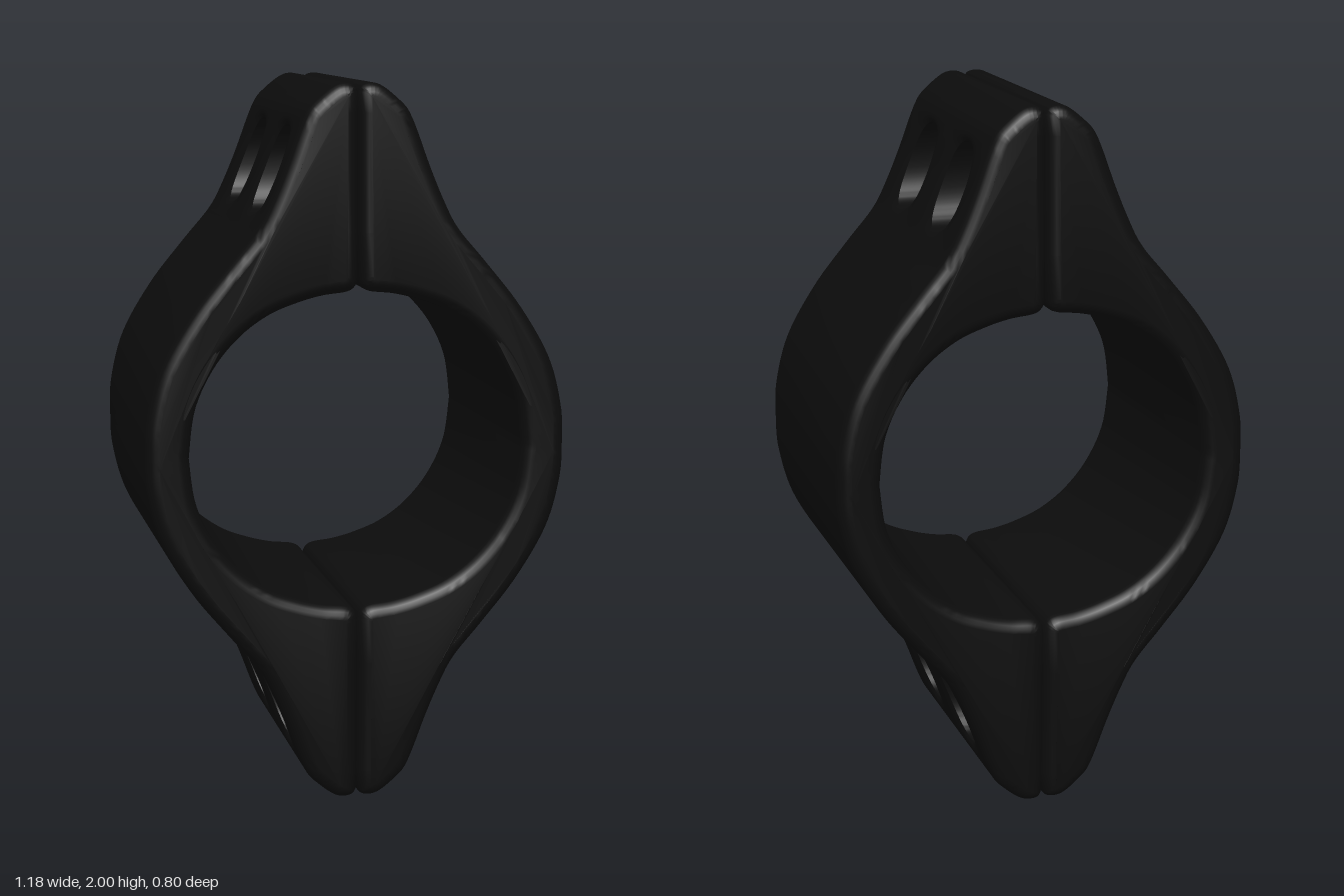
import * as THREE from 'three';
import { toCreasedNormals } from 'three/addons/utils/BufferGeometryUtils.js';

const HALF_DEPTH = 0.4, BEVEL_Z = 0.04, INSET = 0.035;
const HOLE_Y0 = 1.6, HOLE_Y1 = 1.92, STEPS = 16;

const spline = (pts, n) => new THREE.SplineCurve(pts.map(p => new THREE.Vector2(...p))).getPoints(n);

// Outer side of the clamp, from the middle up to the tip
const outer = spline([[0.588, 1], [0.583, 1.1], [0.545, 1.24], [0.46, 1.385], [0.36, 1.51], [0.28, 1.605],
  [0.24, 1.68], [0.2, 1.775], [0.165, 1.87], [0.14, 1.925], [0.11, 1.957], [0.07, 1.988], [0.04, 1.998],
  [0.012, 1.993], [0, 1.975]], 90);
// Round bore, from the seam down to the middle
const bore = spline([[0, 1.475], [0.01, 1.452], [0.035, 1.438], [0.1, 1.43], [0.17, 1.412], [0.25, 1.38],
  [0.33, 1.322], [0.4, 1.238], [0.45, 1.13], [0.468, 1.0]], 50);

function outerX(y) {
  const k = outer.findIndex(p => p.y >= y);
  if (k < 1) return outer[0].x;
  const a = outer[k - 1], b = outer[k];
  return a.x + (b.x - a.x) * (y - a.y) / (b.y - a.y);
}

// Closed outline of one half, counter-clockwise
function outline() {
  const ys = Array.from({ length: STEPS + 1 }, (_, i) => HOLE_Y0 + (HOLE_Y1 - HOLE_Y0) * i / STEPS);
  const upper = [
    ...outer.filter(p => p.y < HOLE_Y0 - 0.003),
    ...ys.map(y => new THREE.Vector2(outerX(y), y)),
    ...outer.filter(p => p.y > HOLE_Y1 + 0.003),
    new THREE.Vector2(0, HOLE_Y1), new THREE.Vector2(0, HOLE_Y0),
    ...bore,
  ];
  const lower = upper.slice(1, -1).reverse().map(p => new THREE.Vector2(p.x, 2 - p.y));
  return [...upper, ...lower];
}

// Directions pointing into the outline at each point
function inwardNormals(pts) {
  const n = pts.length;
  const edge = (a, b) => new THREE.Vector2(a.y - b.y, b.x - a.x).normalize();
  return pts.map((p, i) => {
    const a = edge(pts[(i + n - 1) % n], p), b = edge(p, pts[(i + 1) % n]);
    const m = a.clone().add(b).normalize();
    return m.multiplyScalar(1 / Math.max(0.7, m.dot(a)));
  });
}

function halfGeometry() {
  const pos = [];
  const put = ([x, y, z]) => {
    // The depth narrows slightly towards the tips
    const t = THREE.MathUtils.smoothstep(Math.abs(y - 1), 0.4, 1);
    pos.push(x, y, z * (1 - 0.025 * t));
  };
  const quad = (a, b, c, d) => [a, b, c, a, c, d].forEach(put);

  const pts = outline(), normals = inwardNormals(pts), n = pts.length;

  // Rings from back to front, rounded at both ends
  const rings = [];
  for (const side of [-1, 1]) {
    for (let k = 0; k <= 5; k++) {
      const a = (side < 0 ? k : 5 - k) / 5 * Math.PI / 2;
      const inset = INSET * (1 - Math.sin(a));
      const z = side * (HALF_DEPTH - BEVEL_Z * (1 - Math.cos(a)));
      rings.push(pts.map((p, i) => [p.x + normals[i].x * inset, p.y + normals[i].y * inset, z]));
    }
  }
  const inHoleZone = p => {
    const d = Math.abs(p.y - 1);
    return d > HOLE_Y0 - 1 - 1e-5 && d < HOLE_Y1 - 1 + 1e-5;
  };
  for (let r = 0; r < rings.length - 1; r++) {
    for (let i = 0; i < n; i++) {
      const j = (i + 1) % n;
      if (r === 5 && inHoleZone(pts[i]) && inHoleZone(pts[j])) continue;
      quad(rings[r][i], rings[r][j], rings[r + 1][j], rings[r + 1][i]);
    }
  }

  // Front and back faces
  const back = rings[0], front = rings[rings.length - 1];
  for (const [a, b, c] of THREE.ShapeUtils.triangulateShape(pts, [])) {
    [front[a], front[b], front[c], back[a], back[c], back[b]].forEach(put);
  }

  // Bolt holes: each panel runs from the hole's rim to a rectangle
  const zMax = HALF_DEPTH - BEVEL_Z, yc = (HOLE_Y0 + HOLE_Y1) / 2, hy = (HOLE_Y1 - HOLE_Y0) / 2;
  const square = [];
  for (let k = 0; k < STEPS; k++) {
    const t = -1 + 2 * k / STEPS;
    square.push([1, t, k], [-t, 1, k + STEPS], [-1, -t, k + 2 * STEPS], [t, -1, k + 3 * STEPS]);
  }
  square.sort((a, b) => a[2] - b[2]);
  const soft = v => Math.sign(v) * Math.abs(v) ** 0.82;
  for (const flip of [1, -1]) {
    for (const side of [-1, 1]) {
      const point = (i, s, onSeam) => {
        const [u, v] = square[i % square.length];
        const a = Math.atan2(v, u);
        const y = THREE.MathUtils.lerp(1.76 + 0.12 * soft(Math.cos(a)), yc + hy * u, s);
        const z = THREE.MathUtils.lerp(side * 0.17 + 0.095 * soft(Math.sin(a)), (side + v) * zMax / 2, s);
        const x = onSeam ? 0 : outerX(y) - 0.012 * (1 - s) ** 4;
        return flip > 0 ? [x, y, z] : [x, 2 - y, -z];
      };
      for (let i = 0; i < square.length; i++) {
        for (let k = 0; k < 5; k++) {
          const s = k / 5, e = (k + 1) / 5;
          quad(point(i, s), point(i, e), point(i + 1, e), point(i + 1, s));
          quad(point(i + 1, s, true), point(i + 1, e, true), point(i, e, true), point(i, s, true));
        }
        quad(point(i, 0, true), point(i, 0), point(i + 1, 0), point(i + 1, 0, true));
      }
    }
  }

  const geo = new THREE.BufferGeometry();
  geo.setAttribute('position', new THREE.Float32BufferAttribute(pos, 3));
  return toCreasedNormals(geo, 0.7);
}

export function createModel() {
  const group = new THREE.Group();
  group.name = 'tubeClamp';
  const black = new THREE.MeshStandardMaterial({ color: 0x0c0c0c });
  black.name = 'black';

  // Two matching halves meeting at the seam
  const geo = halfGeometry();
  for (const [name, turn] of [['leftClampHalf', 0], ['rightClampHalf', Math.PI]]) {
    const half = new THREE.Mesh(geo, black);
    half.name = name;
    half.rotation.y = turn;
    group.add(half);
  }
  return group;
}
